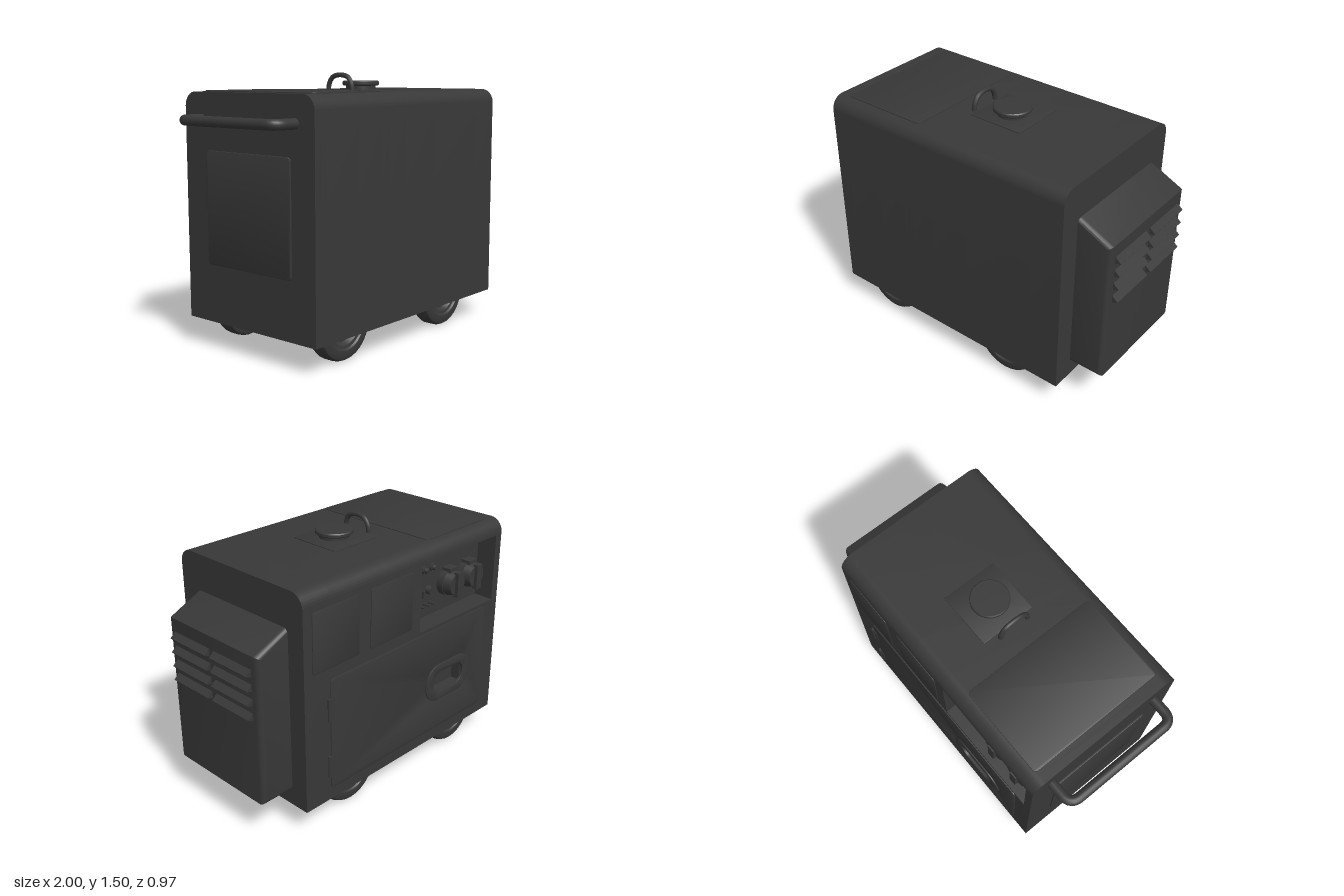
import * as THREE from 'three';
import { toCreasedNormals } from 'three/addons/utils/BufferGeometryUtils.js';

const material = new THREE.MeshStandardMaterial({ color: 0x383838, side: THREE.DoubleSide });

function add(parent, name, geometry, x = 0, y = 0, z = 0) {
  const mesh = new THREE.Mesh(geometry, material);
  mesh.name = name;
  mesh.position.set(x, y, z);
  parent.add(mesh);
  return mesh;
}

const box = (w, h, d) => new THREE.BoxGeometry(w, h, d);
const disc = (r, depth, n = 24, r2 = r) => new THREE.CylinderGeometry(r2, r, depth, n).rotateX(Math.PI / 2);

function roundRect(w, h, r) {
  const s = new THREE.Shape(), a = w / 2 - r, b = h / 2 - r;
  s.absarc(a, b, r, 0, Math.PI / 2);
  s.absarc(-a, b, r, Math.PI / 2, Math.PI);
  s.absarc(-a, -b, r, Math.PI, Math.PI * 1.5);
  s.absarc(a, -b, r, Math.PI * 1.5, Math.PI * 2);
  s.closePath();
  return s;
}

// A raised plate with small bevelled edges; total thickness is depth + bevel
function plate(shape, depth, bevel = 0.003) {
  return toCreasedNormals(new THREE.ExtrudeGeometry(shape, {
    depth, curveSegments: 8, bevelEnabled: bevel > 0,
    bevelSize: bevel, bevelThickness: bevel, bevelOffset: -bevel, bevelSegments: 2,
  }), 0.6);
}

// Recesses in the body, by their range along x
const CONTROL = [-0.78, -0.11], GRIP = [-0.5, -0.25];
const WELLS = [[-0.75, -0.31], [0.145, 0.585]];

// Cross-section of the body, horizontal axis = -z
function bodySection(well, grip, control) {
  const s = new THREE.Shape();
  const line = (pts) => pts.forEach(([a, b]) => s.lineTo(a, b));
  s.moveTo(-0.48, 0.15);
  if (well) line([[-0.45, 0.15], [-0.45, 0.42], [-0.28, 0.42], [-0.28, 0.15],
    [0.27, 0.15], [0.27, 0.42], [0.43, 0.42], [0.43, 0.15]]);
  s.lineTo(0.47, 0.15);
  if (grip) line([[0.47, 0.46], [0.41, 0.46], [0.41, 0.6], [0.47, 0.6]]);
  if (control) line([[0.47, 0.905], [0.345, 0.905], [0.345, 1.31], [0.47, 1.31]]);
  s.absarc(0.39, 1.32, 0.08, 0, Math.PI / 2);
  s.absarc(-0.4, 1.32, 0.08, Math.PI / 2, Math.PI);
  s.closePath();
  return s;
}

function buildBody(root) {
  const body = new THREE.Group();
  body.name = 'body';
  const cuts = [-0.83, 0.77, ...CONTROL, ...GRIP, ...WELLS.flat()].sort((a, b) => a - b);
  for (let i = 0; i < cuts.length - 1; i++) {
    const mid = (cuts[i] + cuts[i + 1]) / 2;
    const inside = ([a, b]) => mid > a && mid < b;
    const geo = new THREE.ExtrudeGeometry(bodySection(WELLS.some(inside), inside(GRIP), inside(CONTROL)),
      { depth: cuts[i + 1] - cuts[i], bevelEnabled: false, curveSegments: 10 });
    geo.rotateY(Math.PI / 2);
    add(body, 'bodySection', toCreasedNormals(geo, 0.5), cuts[i]);
  }
  root.add(body);
}

function buildWheels(root) {
  const tire = [[0.13, -0.045], [0.14, -0.055], [0.17, -0.057], [0.19, -0.048], [0.2, -0.028],
    [0.2, 0.028], [0.19, 0.048], [0.17, 0.057], [0.14, 0.055], [0.13, 0.045]];
  const hub = [[0, -0.045], [0.035, -0.045], [0.04, -0.025], [0.1, -0.02], [0.115, -0.045], [0.132, -0.047],
    [0.132, 0.047], [0.115, 0.045], [0.1, 0.02], [0.04, 0.025], [0.035, 0.045], [0, 0.045]];
  const lathe = (p) => toCreasedNormals(
    new THREE.LatheGeometry(p.map(([r, h]) => new THREE.Vector2(r, h)), 28).rotateX(Math.PI / 2), 0.6);
  for (const x of [-0.53, 0.365]) for (const z of [0.368, -0.352]) {
    const wheel = new THREE.Group();
    wheel.name = 'wheel';
    wheel.position.set(x, 0.2, z);
    add(wheel, 'tire', lathe(tire));
    add(wheel, 'hub', lathe(hub));
    root.add(wheel);
  }
}

function buildVentHousing(root) {
  const s = new THREE.Shape([[0.74, 0.27], [0.94, 0.27], [0.94, 1.08], [0.74, 1.18]]
    .map(([x, y]) => new THREE.Vector2(x, y)));
  const geo = new THREE.ExtrudeGeometry(s,
    { depth: 0.655, bevelSize: 0.03, bevelThickness: 0.03, bevelSegments: 4 });
  add(root, 'ventHousing', toCreasedNormals(geo, 0.5), 0, 0, -0.33);
  // Two columns of sloping louvres with small end cheeks
  for (const z of [0.16, -0.165]) for (let i = 0; i < 4; i++) {
    const y = 1.01 - i * 0.082;
    add(root, 'louvre', box(0.055, 0.01, 0.29), 0.979, y, z).rotation.z = -0.7;
    for (const e of [-0.143, 0.143]) {
      const cheek = new THREE.Shape([[0.96, 0.03], [0.96, -0.03], [0.995, -0.018]]
        .map(([a, b]) => new THREE.Vector2(a, b)));
      add(root, 'louvreCheek', plate(cheek, 0.004, 0), 0, y, z + e - 0.002);
    }
  }
}

function buildTop(root) {
  const flat = (w, d, r) => plate(roundRect(w, d, r), 0.003, 0.002).rotateX(-Math.PI / 2);
  add(root, 'topHatch', flat(0.53, 0.81, 0.025), -0.495, 1.4, 0.005);
  add(root, 'fillerPlate', flat(0.33, 0.325, 0.005), 0.085, 1.4, -0.007);
  const cap = [[0, 0], [0.085, 0], [0.085, 0.022], [0.1, 0.024], [0.107, 0.03], [0.107, 0.044],
    [0.102, 0.05], [0, 0.05]].map(([r, h]) => new THREE.Vector2(r, h));
  add(root, 'fuelCap', toCreasedNormals(new THREE.LatheGeometry(cap, 36), 0.5), 0.085, 1.402, 0.003);
  // Lifting eye
  const eye = new THREE.CatmullRomCurve3([[1.39, 0.09], [1.44, 0.082], [1.475, 0.055], [1.487, 0],
    [1.475, -0.055], [1.44, -0.082], [1.39, -0.09]].map(([y, z]) => new THREE.Vector3(0, y, z)));
  add(root, 'liftingEye', new THREE.TubeGeometry(eye, 32, 0.014, 10), -0.105, 0, 0.01);
}

function buildLeftoverEnd(root) {
  // Push bar and access panel on the -x end
  const p = (x, z) => new THREE.Vector3(x, 1.255, z);
  const bar = new THREE.CurvePath();
  bar.add(new THREE.LineCurve3(p(-0.8, -0.34), p(-0.91, -0.34)));
  bar.add(new THREE.QuadraticBezierCurve3(p(-0.91, -0.34), p(-0.972, -0.34), p(-0.972, -0.278)));
  bar.add(new THREE.LineCurve3(p(-0.972, -0.278), p(-0.972, 0.288)));
  bar.add(new THREE.QuadraticBezierCurve3(p(-0.972, 0.288), p(-0.972, 0.35), p(-0.91, 0.35)));
  bar.add(new THREE.LineCurve3(p(-0.91, 0.35), p(-0.8, 0.35)));
  add(root, 'pushBar', new THREE.TubeGeometry(bar, 80, 0.028, 14));
  add(root, 'endPanel', plate(roundRect(0.62, 0.62, 0.02), 0.006).rotateY(-Math.PI / 2), -0.83, 0.78, 0.01);
}

function buildBack(root) {
  // Turned group: local x runs to -x, local z points outwards
  const back = new THREE.Group();
  back.name = 'backDetails';
  back.rotation.y = Math.PI;
  back.position.z = -0.47;
  root.add(back);

  for (const x of [0.545, 0.1275]) add(back, 'backPanel', plate(roundRect(0.332, 0.34, 0.015), 0.002, 0.002), -x, 1.12);

  // Door with a hole for the grip
  const door = roundRect(1.3, 0.665, 0.025);
  door.holes.push(new THREE.Path(roundRect(0.3, 0.15, 0.07).getPoints(8)
    .map((v) => v.add(new THREE.Vector2(0.315, -0.022)))));
  add(back, 'door', plate(door, 0.004, 0.002), 0.06, 0.552);
  const ring = roundRect(0.4, 0.235, 0.11);
  ring.holes.push(roundRect(0.27, 0.13, 0.06));
  add(back, 'gripFrame', plate(ring, 0.01, 0.004), 0.375, 0.53);

  for (const y of [0.71, 0.365]) {
    add(back, 'hingeLeaf', box(0.035, 0.12, 0.012), -0.585, y, 0.004);
    add(back, 'hingePin', new THREE.CylinderGeometry(0.01, 0.01, 0.13, 12), -0.603, y, 0.007);
  }

  // Controls on the floor of the recess
  const floor = -0.125;
  for (const x of [0.21, 0.28, 0.35]) {
    add(back, 'lampBase', disc(0.024, 0.014), x, 1.2, floor + 0.007);
    add(back, 'lamp', disc(0.017, 0.02, 20, 0.012), x, 1.2, floor + 0.022);
  }
  add(back, 'switchBase', disc(0.04, 0.016), 0.22, 1.08, floor + 0.008);
  add(back, 'switchKnob', disc(0.025, 0.03), 0.22, 1.08, floor + 0.03);
  add(back, 'switchGrip', box(0.012, 0.045, 0.02), 0.22, 1.08, floor + 0.048);
  add(back, 'smallKnob', disc(0.026, 0.03, 20, 0.022), 0.32, 1.07, floor + 0.015);
  for (const x of [0.205, 0.25, 0.295, 0.34]) {
    add(back, 'terminal', disc(0.014, 0.012, 6), x, 0.985, floor + 0.006);
    add(back, 'terminalPin', disc(0.007, 0.035, 10), x, 0.985, floor + 0.018);
  }
  for (const x of [0.48, 0.66]) {
    add(back, 'socketBase', disc(0.082, 0.04, 28), x, 1.08, floor + 0.02);
    add(back, 'socketLid', disc(0.078, 0.05, 28, 0.066), x, 1.08, floor + 0.065);
    add(back, 'socketLidRib', box(0.045, 0.15, 0.03), x, 1.08, floor + 0.095);
    add(back, 'socketHinge', box(0.07, 0.025, 0.06), x, 1.16, floor + 0.03);
  }
}

export function createModel() {
  const root = new THREE.Group();
  root.name = 'generator';
  buildBody(root);
  buildWheels(root);
  buildVentHousing(root);
  buildTop(root);
  buildLeftoverEnd(root);
  buildBack(root);
  return root;
}
